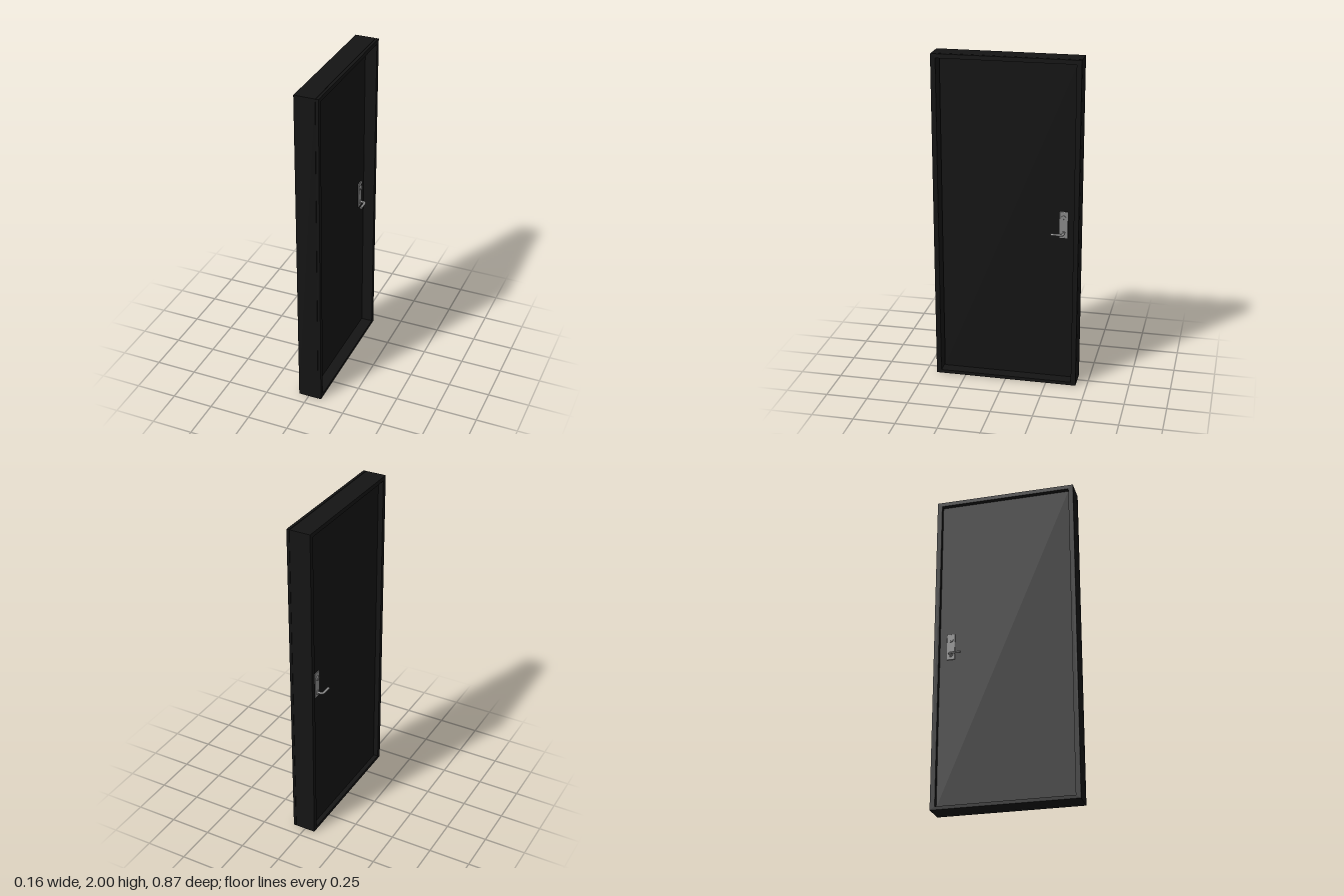
import * as THREE from 'three';
import { RoundedBoxGeometry } from 'three/addons/geometries/RoundedBoxGeometry.js';

const black = new THREE.MeshStandardMaterial({ color: 0x141414 });
const steel = new THREE.MeshStandardMaterial({ color: 0x8a8a8a });

function add(parent, name, geometry, material, x = 0, y = 0, z = 0) {
  const mesh = new THREE.Mesh(geometry, material);
  mesh.name = name;
  mesh.position.set(x, y, z);
  parent.add(mesh);
  return mesh;
}

// Rectangular ring in the z-y plane, running from x0 to x1
function ring(x0, x1, inset, halfOpening, sill, head) {
  const w = 0.433 - inset;
  const shape = new THREE.Shape([
    new THREE.Vector2(-w, inset), new THREE.Vector2(w, inset),
    new THREE.Vector2(w, 2 - inset), new THREE.Vector2(-w, 2 - inset),
  ]);
  shape.holes.push(new THREE.Path([
    new THREE.Vector2(-halfOpening, sill), new THREE.Vector2(-halfOpening, head),
    new THREE.Vector2(halfOpening, head), new THREE.Vector2(halfOpening, sill),
  ]));
  const g = new THREE.ExtrudeGeometry(shape, { depth: x1 - x0, bevelEnabled: false });
  return g.rotateY(Math.PI / 2).translate(x0, 0, 0);
}

// Plate, lock and lever; s is the outward direction along x
function handle(name, face, s) {
  const group = new THREE.Group();
  group.name = name;
  const z = -0.335, y = 0.953;
  add(group, 'backPlate', new RoundedBoxGeometry(0.007, 0.164, 0.05, 2, 0.003), steel, face + s * 0.0025, 1.005, z);

  const disc = (part, radius, depth, py) =>
    add(group, part, new THREE.CylinderGeometry(radius, radius, depth, 24).rotateZ(Math.PI / 2),
      steel, face + s * (0.005 + depth / 2), py, z);
  disc('leverCollar', 0.013, 0.006, y);
  disc('lockCylinder', 0.014, 0.008, 1.05);
  add(group, 'lockTurn', new THREE.BoxGeometry(0.006, 0.018, 0.004), steel, face + s * 0.015, 1.05, z);

  // Neck comes out of the plate and turns into the grip
  const path = new THREE.CurvePath();
  const p = (d, pz) => new THREE.Vector3(face + s * d, 0, pz);
  path.add(new THREE.LineCurve3(p(0.004, z), p(0.026, z)));
  path.add(new THREE.QuadraticBezierCurve3(p(0.026, z), p(0.039, z), p(0.039, z + 0.016)));
  path.add(new THREE.LineCurve3(p(0.039, z + 0.016), p(0.039, -0.265)));
  add(group, 'lever', new THREE.TubeGeometry(path, 40, 0.008, 14).scale(1, 0.8, 1), steel, 0, y, 0);
  add(group, 'leverEnd', new THREE.CircleGeometry(0.008, 14).scale(1, 0.8, 1), steel, face + s * 0.039, y, -0.265);
  return group;
}

export function createModel() {
  const model = new THREE.Group();
  model.name = 'door';

  // Frame: deep lining, thin shadow groove and front lip
  const frame = new THREE.Group();
  frame.name = 'frame';
  model.add(frame);
  add(frame, 'frameLining', ring(-0.063, 0.061, 0, 0.404, 0.02, 1.975), black);
  add(frame, 'frameGroove', ring(0.061, 0.064, 0.003, 0.404, 0.02, 1.975), black);
  add(frame, 'frameLip', ring(0.064, 0.08, 0, 0.404, 0.02, 1.975), black);

  // Leaf with a narrow gap on the hinge side
  add(model, 'doorLeaf', new THREE.BoxGeometry(0.045, 1.953, 0.802), black, -0.0125, 0.9975, -0.0025);

  model.add(handle('rightHandle', 0.01, 1), handle('leftHandle', -0.035, -1));
  return model;
}
